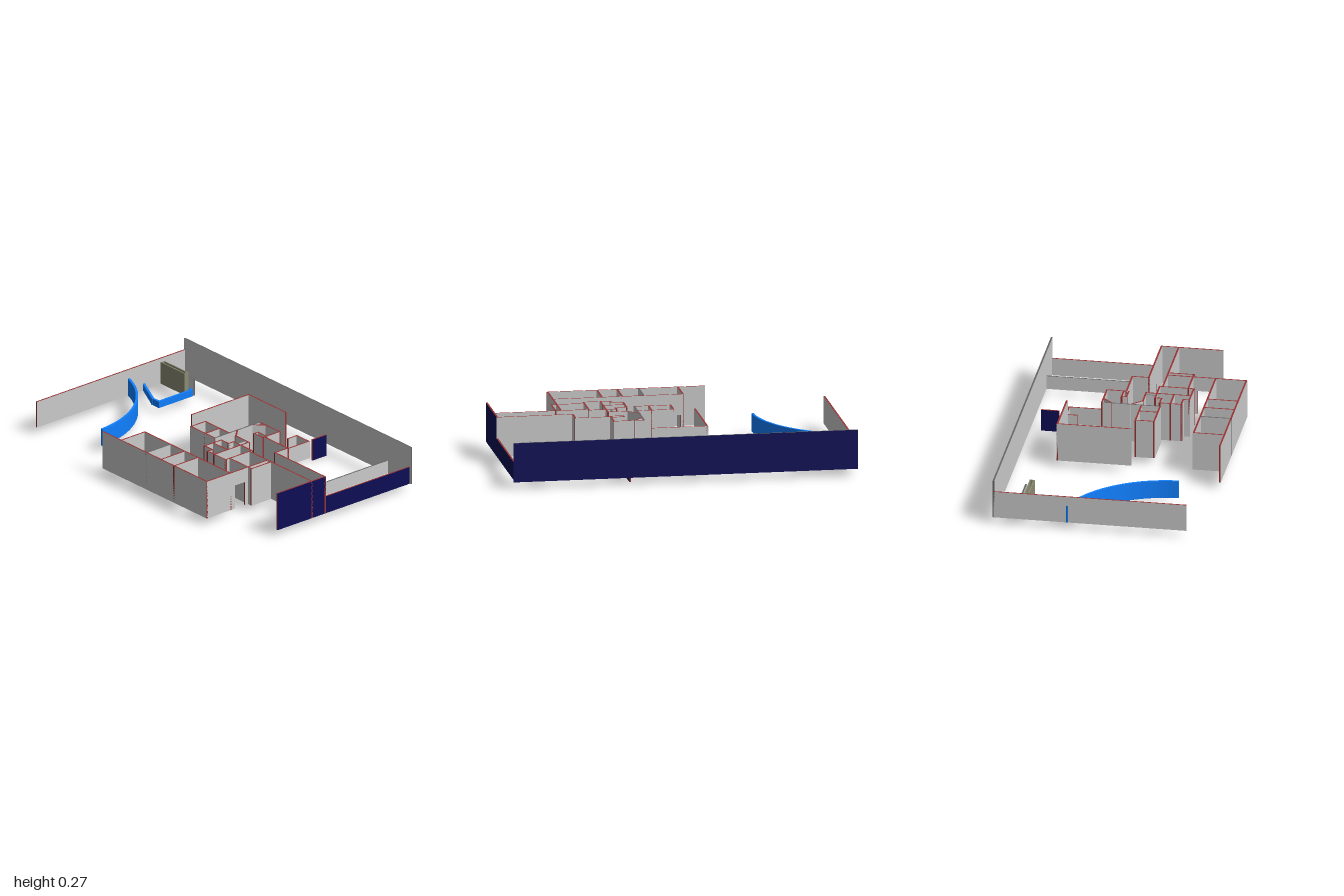
import * as THREE from 'three';

const mat = (color) => new THREE.MeshStandardMaterial({ color });
const GREY = mat(0xcccccc), RED = mat(0x993333), NAVY = mat(0x0d0d55), BLUE = mat(0x1080ff);
const OLIVE = mat(0x8c8c74), DARK = mat(0x666666);
const FLOOR = 0.04, TOP = 0.27, LOW = 0.145, T = 0.01;

// Straight wall between two plan points (x, z): plain faces, coloured cut edges
function wall(group, name, [ax, az, bx, bz], o = {}) {
  const { y0 = FLOOR, y1 = TOP, t = T, edge = RED, side = GREY, outer = side, ext = t } = o;
  const geo = new THREE.BoxGeometry(Math.hypot(bx - ax, bz - az) + ext, y1 - y0, t);
  const mesh = new THREE.Mesh(geo, [edge, edge, edge, edge, outer, side]);
  mesh.position.set((ax + bx) / 2, (y0 + y1) / 2, (az + bz) / 2);
  mesh.rotation.y = -Math.atan2(bz - az, bx - ax);
  mesh.name = name;
  group.add(mesh);
}

// Chain of walls through a list of plan points
function run(group, name, pts, o) {
  for (let i = 0; i + 1 < pts.length; i++) wall(group, name, [...pts[i], ...pts[i + 1]], o);
}

// Wall with a doorway from distance d0 to d1 along its length
function doorWall(group, name, [ax, az, bx, bz], d0, d1, head) {
  const len = Math.hypot(bx - ax, bz - az);
  const at = (d) => [ax + (bx - ax) * d / len, az + (bz - az) * d / len];
  wall(group, name, [ax, az, ...at(d0)], { ext: 0 });
  wall(group, name, [...at(d1), bx, bz], { ext: 0 });
  wall(group, name + 'Lintel', [...at(d0), ...at(d1)], { y0: head, ext: 0 });
}

export function createModel() {
  const model = new THREE.Group();
  model.name = 'floorPlan';
  const section = (name) => {
    const g = new THREE.Group();
    g.name = name;
    model.add(g);
    return g;
  };

  // Outer walls
  const shell = section('outerWalls');
  wall(shell, 'backWall', [0.995, -0.6, -0.995, -0.6], { outer: NAVY, edge: DARK });
  wall(shell, 'leftSideWallLow', [0.985, 0.04, 0.985, -0.6], { outer: NAVY, y1: LOW, ext: 0 });
  wall(shell, 'leftSideWallHigh', [0.985, 0.4, 0.985, 0.04], { outer: NAVY, ext: 0 });
  wall(shell, 'rightSideWall', [-0.995, -0.6, -0.995, 0.52], { y1: 0.2, ext: 0 });
  wall(shell, 'lowPartition', [0.795, -0.6, 0.795, 0.04], { y1: 0.12, edge: DARK });
  wall(shell, 'standingPanel', [0.312, -0.44, 0.312, -0.545],
    { y0: 0, y1: 0.13, side: NAVY, ext: 0 });

  // Back room and low hooked screen
  const back = section('backRoom');
  run(back, 'backRoomWall', [[0.155, -0.37], [-0.165, -0.37], [-0.165, 0.055]]);
  run(back, 'hookScreen', [[0.237, -0.325], [0.237, -0.388], [0.342, -0.388], [0.342, -0.17]], { y1: LOW });

  // Central rooms
  const core = section('centralRooms');
  run(core, 'steppedWall', [[0.168, -0.168], [0.342, -0.168], [0.342, -0.055], [0.547, -0.055],
    [0.547, 0.04], [0.985, 0.04]]);
  wall(core, 'coreWall', [0.168, -0.168, 0.168, 0.168], { edge: DARK });
  wall(core, 'cornerWall', [0.168, -0.11, 0.222, -0.168]);
  wall(core, 'cornerWall', [0.168, 0, 0.225, 0.06]);
  run(core, 'nicheWall', [[0.342, -0.07], [0.268, -0.07], [0.268, -0.042], [0.342, -0.042]]);
  run(core, 'innerWall', [[0.225, 0.06], [0.34, 0.06], [0.34, 0.32]]);
  wall(core, 'closetDivider', [0.312, 0.06, 0.312, 0.122], { t: 0.006, edge: DARK });

  // Pair of small rooms on the right of the core
  const pair = section('smallRooms');
  run(pair, 'smallRoomWall', [[0.168, 0.062], [-0.042, 0.062], [-0.042, 0.17], [0.168, 0.17]]);
  wall(pair, 'smallRoomDivider', [0.085, 0.062, 0.085, 0.17]);

  // Wash rooms with stepped outline
  const wash = section('washRooms');
  run(wash, 'washRoomWall', [[0.438, 0.122], [0.278, 0.122], [0.278, 0.16], [0.214, 0.16], [0.214, 0.285],
    [0.282, 0.285], [0.282, 0.32], [0.438, 0.32], [0.438, 0.122]]);
  wall(wash, 'washRoomDivider', [0.214, 0.222, 0.34, 0.222]);

  // Passage on the left
  const hall = section('passage');
  wall(hall, 'passageWall', [0.438, 0.14, 0.985, 0.14]);
  run(hall, 'storeWall', [[0.63, 0.14], [0.63, 0.288], [0.438, 0.288]]);
  doorWall(hall, 'passageDoorWall', [0.598, 0.14, 0.598, 0.6], 0.175, 0.25, 0.185);

  // Front row of rooms
  const front = section('frontRooms');
  wall(front, 'frontWall', [-0.31, 0.598, 0.598, 0.598]);
  doorWall(front, 'frontRoomsBackWall', [-0.16, 0.42, 0.603, 0.42], 0.015, 0.08, 0.148);
  for (const x of [-0.157, 0.07, 0.195, 0.312])
    wall(front, 'frontRoomDivider', [x, 0.42, x, 0.598], { edge: x === 0.07 ? DARK : RED });

  // Curved blue screen
  const shape = new THREE.Shape();
  const R = 0.642, a0 = 0.045, a1 = 1.265;
  shape.absarc(0, 0, R, a0, a1, false);
  shape.absarc(0, 0, R - 0.014, a1, a0, true);
  const arc = new THREE.Mesh(
    new THREE.ExtrudeGeometry(shape, { depth: LOW - FLOOR, bevelEnabled: false, curveSegments: 28 }), BLUE);
  arc.rotation.x = -Math.PI / 2;
  arc.position.set(-1.192, FLOOR, 0.43);
  arc.name = 'curvedScreen';
  model.add(arc);

  // Corner platform edge, rear screen and hollow cabinet
  const corner = section('cornerArea');
  run(corner, 'platformEdge', [[-0.99, -0.437], [-0.748, -0.437], [-0.748, -0.192], [-0.802, -0.192], [-0.99, -0.285]],
    { y1: 0.08, t: 0.014, edge: BLUE, side: BLUE });
  wall(corner, 'rearScreen', [-0.99, -0.454, -0.748, -0.454], { y1: LOW, edge: DARK });
  run(corner, 'cabinetSide', [[-0.972, -0.426], [-0.77, -0.426], [-0.77, -0.403], [-0.972, -0.403], [-0.972, -0.426]],
    { y0: 0.05, y1: 0.185, t: 0.007, edge: OLIVE, side: OLIVE });

  return model;
}
